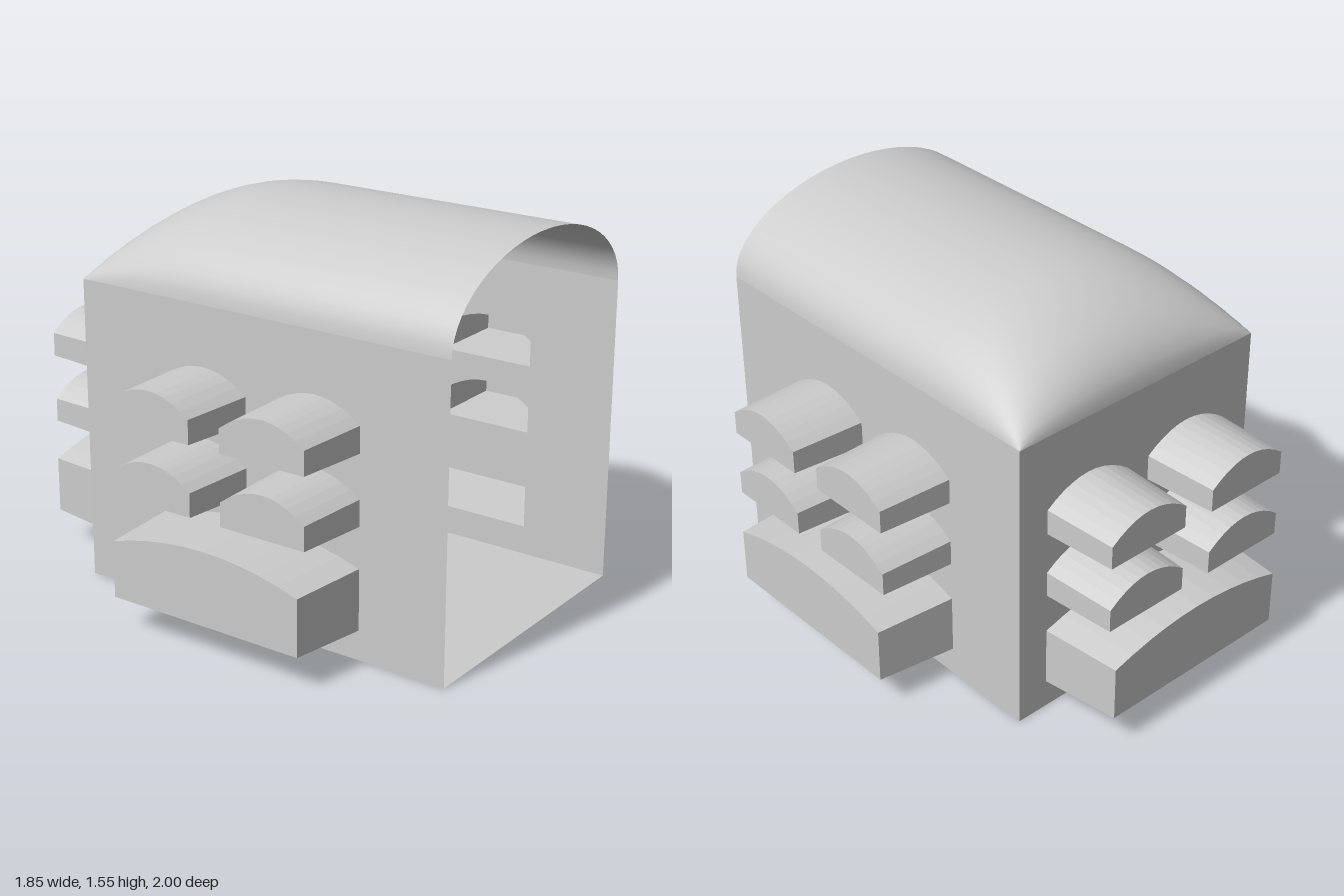
import * as THREE from 'three';

const W = 0.59, BACK = -0.66, FRONT = 1, EAVES = 1.23;

// Arched opening outline, counter-clockwise from the bottom left
function archRing(cx, bottom, spring, top, half) {
  const pts = [new THREE.Vector2(cx - half, bottom), new THREE.Vector2(cx + half, bottom)];
  const n = 10;
  for (let i = 0; i <= n; i++) {
    const s = 1 - (2 * i) / n;
    pts.push(new THREE.Vector2(cx + half * s, spring + (top - spring) * (1 - s * s)));
  }
  return pts;
}

// Tapered hollow sleeve joining two matching rings
function sleeveGeometry(inner, outer, depth) {
  const pos = [];
  const n = inner.length;
  for (let i = 0; i < n; i++) {
    const j = (i + 1) % n;
    const a = [inner[i].x, inner[i].y, 0], b = [inner[j].x, inner[j].y, 0];
    const c = [outer[j].x, outer[j].y, depth], d = [outer[i].x, outer[i].y, depth];
    pos.push(...a, ...b, ...c, ...a, ...c, ...d);
  }
  const g = new THREE.BufferGeometry();
  g.setAttribute('position', new THREE.Float32BufferAttribute(pos, 3));
  g.computeVertexNormals();
  return g;
}

export function createModel() {
  const model = new THREE.Group();
  model.name = 'vaultedHouse';
  const grey = new THREE.MeshStandardMaterial({ color: 0xcccccc, side: THREE.DoubleSide });
  grey.name = 'light grey';

  function add(parent, name, geometry) {
    const mesh = new THREE.Mesh(geometry, grey);
    mesh.name = name;
    parent.add(mesh);
    return mesh;
  }

  // Wall with one wide bay and four small bays; local +z points outwards
  function addWall(name, u0, u1, centre) {
    const wall = new THREE.Group();
    wall.name = name;
    const shape = new THREE.Shape([
      new THREE.Vector2(u0, 0), new THREE.Vector2(u1, 0),
      new THREE.Vector2(u1, EAVES), new THREE.Vector2(u0, EAVES),
    ]);

    function addBay(bayName, u, bottom, spring, top, half, inset, lift, depth) {
      const inner = archRing(u, bottom, spring, top, half);
      const outer = archRing(u, bottom + lift, spring, top - 0.003, half - inset);
      shape.holes.push(new THREE.Path(inner));
      add(wall, bayName + 'Sleeve', sleeveGeometry(inner, outer, depth));
      add(wall, bayName + 'Pane', new THREE.ShapeGeometry(new THREE.Shape(outer)).translate(0, 0, depth));
    }

    addBay('wideBay', centre, 0.12, 0.365, 0.437, 0.455, 0.03, 0.018, 0.335);
    for (const bottom of [0.53, 0.81]) {
      for (const side of [-1, 1]) {
        addBay('smallBay', centre + side * 0.255, bottom, bottom + 0.105, bottom + 0.18, 0.2, 0.015, 0.01, 0.313);
      }
    }
    add(wall, 'wallSheet', new THREE.ShapeGeometry(shape));
    model.add(wall);
    return wall;
  }

  const back = addWall('backWall', -W, W, 0);
  back.rotation.y = Math.PI;
  back.position.z = BACK;
  const left = addWall('leftWall', -FRONT, -BACK, -0.175);
  left.rotation.y = Math.PI / 2;
  left.position.x = W;
  const right = addWall('rightWall', BACK, FRONT, 0.175);
  right.rotation.y = -Math.PI / 2;
  right.position.x = -W;

  // Floor
  const floor = add(model, 'floor', new THREE.PlaneGeometry(2 * W, FRONT - BACK));
  floor.rotation.x = -Math.PI / 2;
  floor.position.z = (FRONT + BACK) / 2;

  // Barrel roof, rounded down to the eaves at the back
  const roof = new THREE.PlaneGeometry(1, 1, 28, 24);
  const p = roof.attributes.position;
  const bend = -0.1;
  for (let i = 0; i < p.count; i++) {
    const across = (p.getX(i) + 0.5) * Math.PI;
    const t = 0.5 - p.getY(i);
    let z, rise;
    if (t < 0.5) {
      const a = t * Math.PI;
      z = bend + (BACK - bend) * Math.cos(a);
      rise = Math.sin(a);
    } else {
      z = bend + (FRONT - bend) * (t - 0.5) * 2;
      rise = 1;
    }
    p.setXYZ(i, -W * Math.cos(across), EAVES + 0.323 * Math.sin(across) * rise, z);
  }
  roof.computeVertexNormals();
  add(model, 'roof', roof);

  return model;
}
